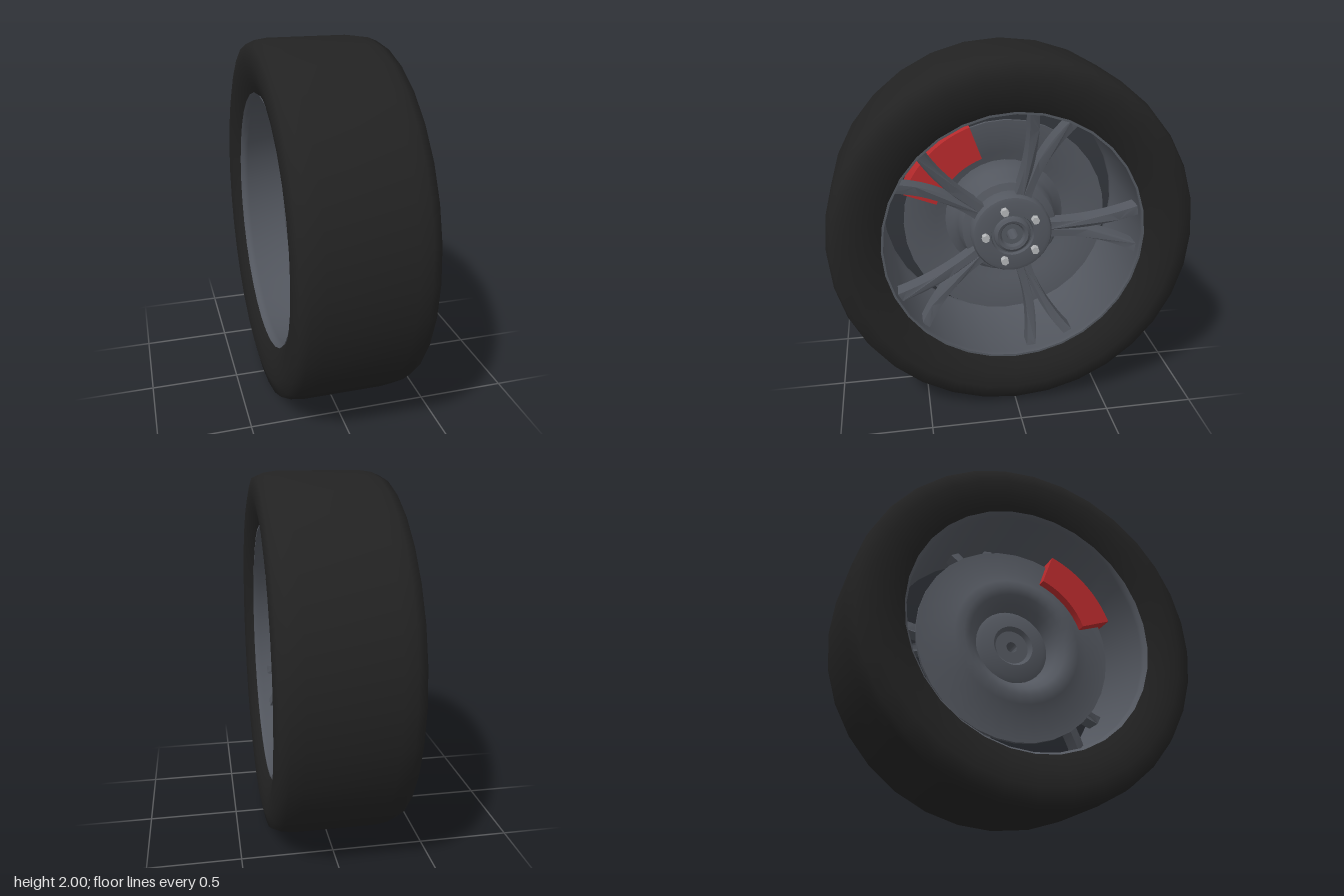
import * as THREE from 'three';
import { toCreasedNormals } from 'three/addons/utils/BufferGeometryUtils.js';

const mat = (name, color, side = THREE.DoubleSide) => {
  const m = new THREE.MeshStandardMaterial({ color, side });
  m.name = name;
  return m;
};

export function createModel() {
  const rubber = mat('tyre black', 0x222222);
  const metal = mat('alloy grey', 0x53575f);
  const red = mat('caliper red', 0xb82a2c);
  const silver = mat('bolt silver', 0xb4b6b8);

  const wheel = new THREE.Group();
  wheel.name = 'wheel';
  wheel.position.y = 1;

  const add = (name, geo, material, parent = wheel) => {
    const mesh = new THREE.Mesh(geo, material);
    mesh.name = name;
    parent.add(mesh);
    return mesh;
  };
  // Profile points are [radius, x]; the axle runs along x
  const spin = (name, pts, material, crease = 0.7) => {
    const geo = new THREE.LatheGeometry(pts.map(p => new THREE.Vector2(...p)), 32);
    geo.rotateZ(-Math.PI / 2);
    return add(name, toCreasedNormals(geo, crease), material);
  };
  // Extrude a shape drawn in the wheel plane so its depth runs along +x
  const extrudeX = (shape, depth) => {
    const geo = new THREE.ExtrudeGeometry(shape, { depth, bevelEnabled: false, curveSegments: 10 });
    return geo.rotateY(Math.PI / 2);
  };

  // Tyre
  const half = [[0.708, 0.3], [0.74, 0.318], [0.81, 0.342], [0.89, 0.355],
    [0.97, 0.338], [0.99, 0.29], [1, 0.22]];
  spin('tyre', [...half.map(([r, x]) => [r, -x]), ...half.slice().reverse()], rubber, 1);

  // Rim barrel with a stepped lip at each edge
  spin('rimBarrel', [[0.715, 0.305], [0.703, 0.305], [0.701, 0.285], [0.708, 0.265],
    [0.708, -0.24], [0.7, -0.265], [0.7, -0.29], [0.715, -0.31]], metal);

  // Brake disc, dished around the hub
  spin('brakeDisc', [[0.032, 0], [0.1, 0], [0.12, -0.025], [0.19, -0.015], [0.22, 0], [0.25, -0.06],
    [0.29, -0.1], [0.33, -0.115], [0.38, -0.1], [0.45, -0.07], [0.585, -0.06],
    [0.585, -0.04], [0.48, -0.045], [0.4, -0.07], [0.345, -0.085], [0.3, -0.06],
    [0.28, -0.01], [0.28, 0.04], [0.265, 0.085], [0.225, 0.1]], metal);

  // Hub with a rounded cap and an open bore
  spin('hub', [[0.225, 0.05], [0.225, 0.175], [0.215, 0.193], [0.195, 0.2], [0.12, 0.2],
    [0.115, 0.18], [0.104, 0.18], [0.1, 0.2], [0.085, 0.21], [0.07, 0.205],
    [0.06, 0.185], [0.032, 0.185], [0.032, 0]], metal);

  // Caliper: a ring segment around the disc
  const caliper = new THREE.Shape();
  const a0 = THREE.MathUtils.degToRad(110), a1 = THREE.MathUtils.degToRad(159);
  caliper.absarc(0, 0, 0.618, a0, a1, false);
  caliper.absarc(0, 0, 0.43, a1, a0, true);
  const caliperGeo = extrudeX(caliper, 0.2).translate(-0.13, 0, 0);
  add('caliper', toCreasedNormals(caliperGeo, 0.5), red);

  // Half of a forked spoke, swept outward towards the rim
  const spokeGeo = s => {
    const shape = new THREE.Shape();
    shape.moveTo(0.2, 0);
    shape.lineTo(0.2, 0.045 * s);
    shape.quadraticCurveTo(0.46, 0.03 * s, 0.695, 0.14 * s);
    shape.lineTo(0.703, 0.09 * s);
    shape.quadraticCurveTo(0.54, 0.015 * s, 0.36, 0.003 * s);
    shape.closePath();
    const geo = extrudeX(shape, 0.1);
    const p = geo.attributes.position;
    for (let i = 0; i < p.count; i++) {
      const t = (Math.hypot(p.getY(i), p.getZ(i)) - 0.2) / 0.5;
      p.setX(i, p.getX(i) + 0.06 + 0.07 * t * t);
    }
    geo.computeVertexNormals();
    return toCreasedNormals(geo, 0.5);
  };
  const spokeHalves = [spokeGeo(1), spokeGeo(-1)];
  const boltGeo = new THREE.CylinderGeometry(0.022, 0.022, 0.05, 6).toNonIndexed();
  boltGeo.computeVertexNormals();
  boltGeo.rotateZ(-Math.PI / 2);

  // Five forked spokes with a bolt between each pair
  for (let i = 0; i < 5; i++) {
    const spoke = new THREE.Group();
    spoke.name = 'spoke';
    spoke.rotation.x = (i * 2 * Math.PI) / 5;
    spokeHalves.forEach(g => add('spokeHalf', g, metal, spoke));
    const a = Math.PI / 5;
    add('bolt', boltGeo, silver, spoke)
      .position.set(0.21, 0.152 * Math.sin(a), -0.152 * Math.cos(a));
    wheel.add(spoke);
  }

  const model = new THREE.Group();
  model.name = 'model';
  model.add(wheel);
  return model;
}
